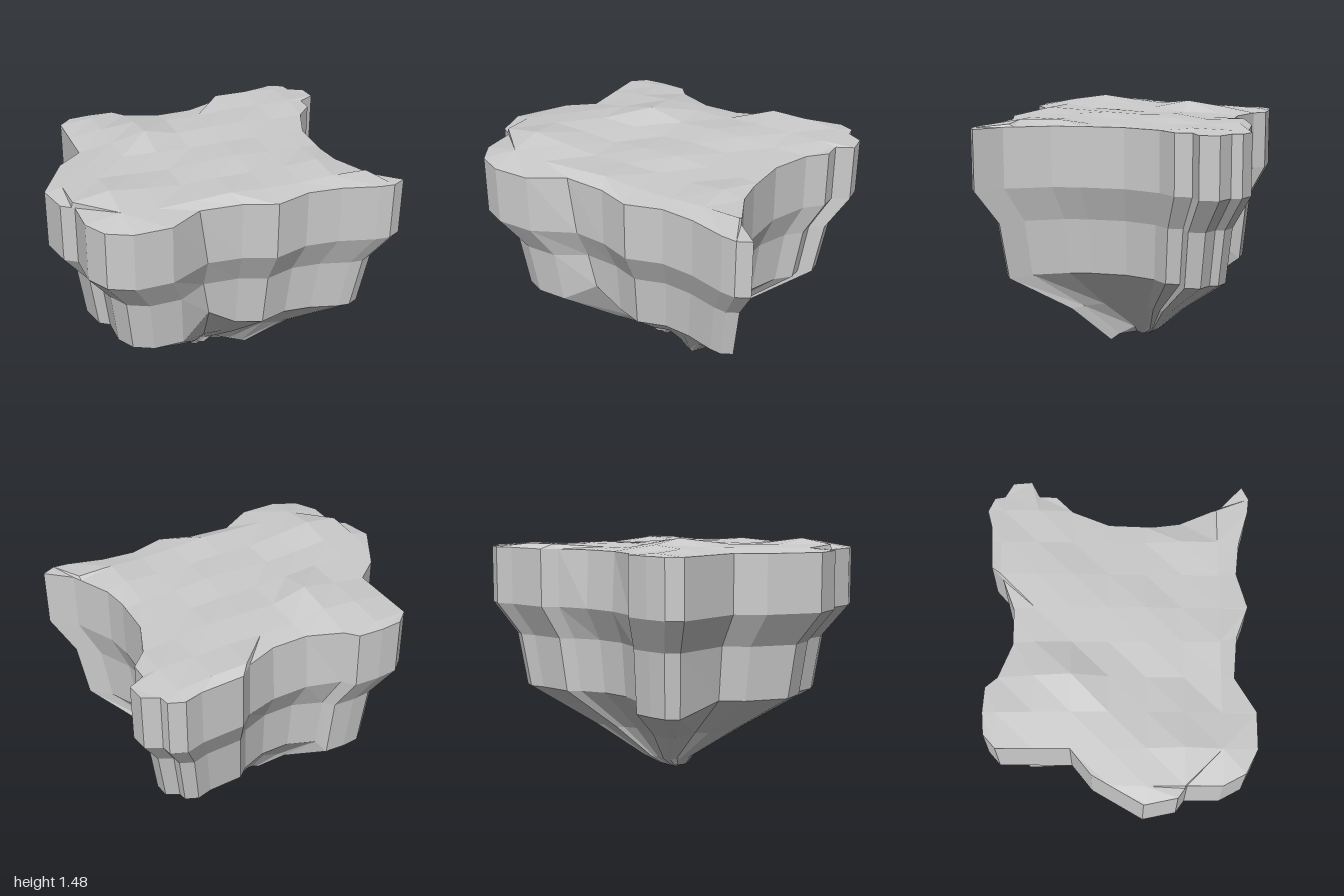
import * as THREE from 'three';

const TOP = 1.41;

// Plan outline of the island as [x, z], counterclockwise seen from above
const outline = [
  [-1, 0.14], [-0.96, 0.33], [-0.89, 0.38], [-0.89, 0.58], [-0.82, 0.71], [-0.68, 0.78], [-0.46, 0.78],
  [-0.26, 0.66], [-0.01, 0.68], [0.18, 0.75], [0.39, 0.69], [0.59, 0.71], [0.8, 0.77], [0.89, 0.78],
  [0.97, 0.74], [0.83, 0.61], [0.72, 0.36], [0.7, 0.2], [0.71, -0.06], [0.8, -0.28], [0.9, -0.38],
  [0.9, -0.48], [1, -0.53], [0.99, -0.64], [0.9, -0.69], [0.89, -0.75], [0.8, -0.79], [0.69, -0.76],
  [0.43, -0.75], [0.35, -0.68], [0.16, -0.61], [-0.06, -0.61], [-0.26, -0.69], [-0.32, -0.76],
  [-0.47, -0.77], [-0.6, -0.76], [-0.68, -0.69], [-0.68, -0.27], [-0.83, -0.15],
];

// Cliff levels: height, scale of the outline, shift in x and z
const levels = [
  [TOP, 1, 0, 0], [1.06, 1, 0, 0], [0.86, 0.86, 0.02, 0], [0.53, 0.81, 0.02, 0],
  [0.28, 0.43, 0.03, -0.01], [0.08, 0.14, 0.02, -0.05], [0.03, 0.08, 0, -0.03], [0, 0, 0, -0.02],
];

function flatMesh(name, positions) {
  const geometry = new THREE.BufferGeometry();
  geometry.setAttribute('position', new THREE.Float32BufferAttribute(positions, 3));
  geometry.computeVertexNormals();
  const material = new THREE.MeshStandardMaterial({ color: 0xcccccc, flatShading: true });
  const mesh = new THREE.Mesh(geometry, material);
  mesh.name = name;
  return mesh;
}

// Rock wall tapering from the rim to the tip
function buildCliff() {
  const rings = levels.map(([y, s, dx, dz]) =>
    outline.map(([x, z]) => new THREE.Vector3(x * s + dx, y, z * s + dz)));

  // Front notch, back hollow and the ledge under the back right corner
  rings[1][7].x = -0.21;
  rings[2][7].x = -0.2;
  rings[3][7].set(-0.16, 0.64, 0.55);
  for (const i of [30, 31]) rings[1][i].z = -0.63;
  for (const i of [33, 34, 35, 36]) rings[3][i].y = 0.47;

  // Small second spike below the front left corner
  const spike = new THREE.Vector3(0.27, 0.03, 0.12);
  [[11, 0.45], [12, 0.85], [13, 1], [14, 1], [15, 0.55]].forEach(([i, t]) => {
    rings[4][i].x += 0.05 * t;
    rings[5][i].lerp(spike, t);
    rings[6][i].y = 0.07;
  });

  const positions = [];
  const n = outline.length;
  for (let k = 0; k < rings.length - 1; k++) {
    for (let i = 0; i < n; i++) {
      const j = (i + 1) % n;
      const a = rings[k][i], b = rings[k][j], c = rings[k + 1][i], d = rings[k + 1][j];
      const faces = k < rings.length - 2 ? [a, c, d, a, d, b] : [a, c, b];
      faces.forEach((p) => positions.push(p.x, p.y, p.z));
    }
  }
  return flatMesh('cliff', positions);
}

// Keep the part of a polygon on one side of an axis-aligned line
function clip(points, axis, limit, sign) {
  const out = [];
  points.forEach((p, i) => {
    const q = points[(i + 1) % points.length];
    const dp = (p[axis] - limit) * sign, dq = (q[axis] - limit) * sign;
    if (dp >= 0) out.push(p);
    if (dp * dq < 0) {
      const t = dp / (dp - dq);
      const r = [p[0] + (q[0] - p[0]) * t, p[1] + (q[1] - p[1]) * t];
      r[axis] = limit;
      out.push(r);
    }
  });
  return out;
}

// Gentle mounds of the ground
function groundHeight(x, z) {
  const bump = (cx, cz, h, r) => h * Math.exp(-((x - cx) ** 2 + (z - cz) ** 2) / (r * r));
  return TOP + 0.02 + 0.008 * Math.sin(9 * x + 4 * z) + 0.006 * Math.sin(13 * z - 5 * x)
    + bump(-0.26, -0.27, 0.055, 0.15) + bump(-0.68, 0.37, 0.03, 0.25) - bump(0.7, 0, 0.012, 0.3);
}

// Faceted ground: a square grid trimmed to the outline
function buildGround() {
  const step = 0.213, positions = [];
  const gx = (i) => -0.26 + i * step, gz = (j) => -0.27 + j * step;
  for (let i = -4; i < 6; i++) {
    for (let j = -3; j < 5; j++) {
      const xs = [gx(i), gx(i + 1)], zs = [gz(j), gz(j + 1)];
      let cell = clip(outline, 0, xs[0], 1);
      cell = clip(cell, 0, xs[1], -1);
      cell = clip(cell, 1, zs[0], 1);
      cell = clip(cell, 1, zs[1], -1);
      if (cell.length < 3) continue;
      const flat = cell.map(([x, z]) => new THREE.Vector2(x, z));
      // Grid corners carry the mounds, the rim stays level
      const isNode = (p) => xs.some((x) => Math.abs(x - p.x) < 1e-6) && zs.some((z) => Math.abs(z - p.y) < 1e-6);
      for (const face of THREE.ShapeUtils.triangulateShape(flat, [])) {
        const t = face.map((f) => flat[f]);
        const area = THREE.ShapeUtils.area(t);
        if (Math.abs(area) < 1e-7) continue;
        if (area > 0) t.reverse();
        t.forEach((p) => positions.push(p.x, isNode(p) ? groundHeight(p.x, p.y) : TOP, p.y));
      }
    }
  }
  return flatMesh('ground', positions);
}

export function createModel() {
  const island = new THREE.Group();
  island.name = 'rockIsland';
  island.add(buildCliff(), buildGround());
  return island;
}
